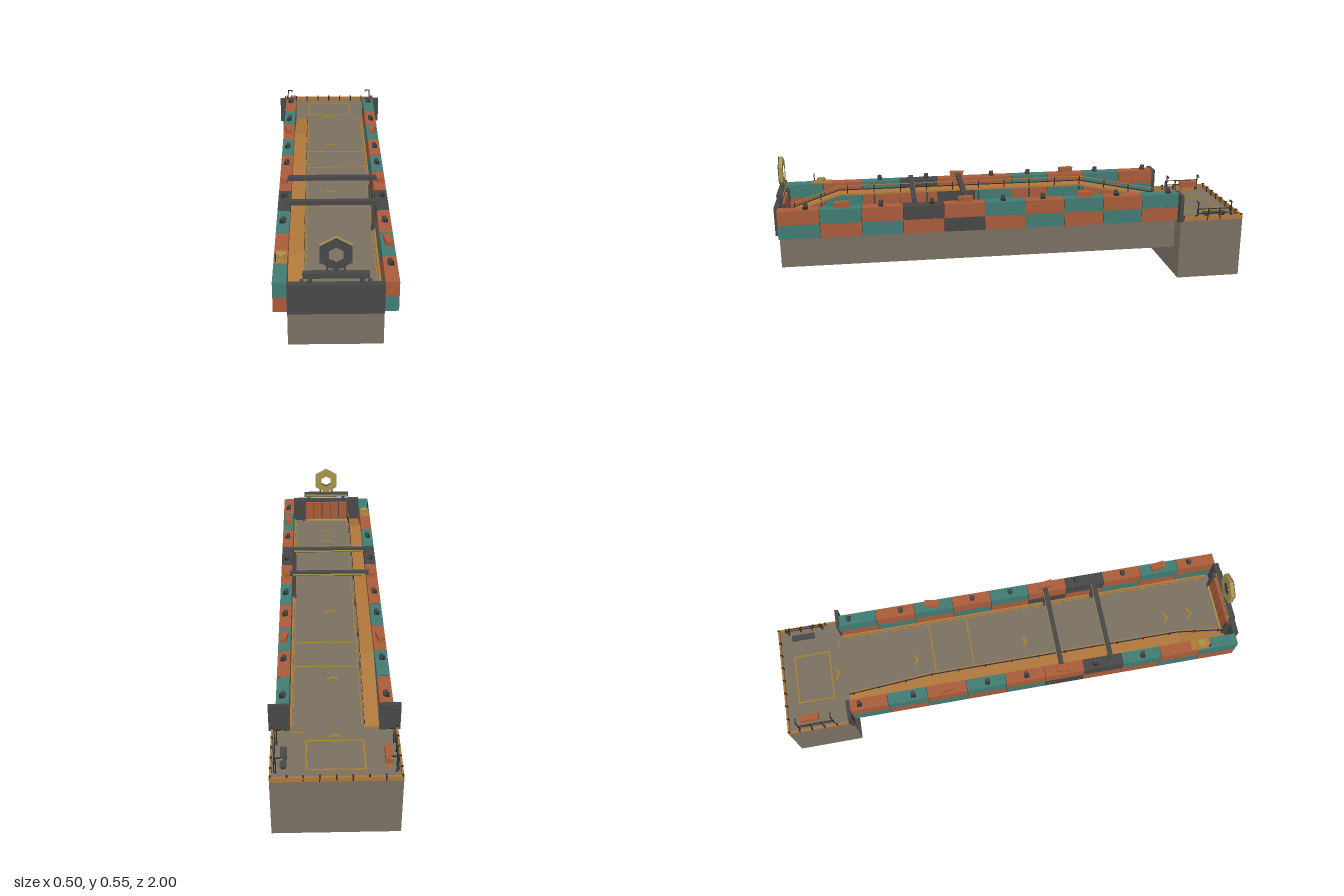
import * as THREE from 'three';

const mat = (name, color, side = THREE.FrontSide) => {
  const m = new THREE.MeshStandardMaterial({ color, side });
  m.name = name;
  return m;
};

export function createModel() {
  const root = new THREE.Group();
  root.name = 'containerDock';
  const stone = mat('stone', 0x7a7062);
  const dark = mat('darkSteel', 0x474748);
  const black = mat('blackMetal', 0x2c2c2e);
  const teal = mat('tealPaint', 0x417c74);
  const rust = mat('rustPaint', 0xa95c3a);
  const wood = mat('ochrePlank', 0xaf783b);
  const yellow = mat('yellowPaint', 0xa5822f);
  const brass = mat('brass', 0xa8934a);

  const add = (name, geo, m, x = 0, y = 0, z = 0, parent = root) => {
    const mesh = new THREE.Mesh(geo, m);
    mesh.name = name;
    mesh.position.set(x, y, z);
    parent.add(mesh);
    return mesh;
  };
  // box given by its ranges
  const box = (name, m, x0, x1, y0, y1, z0, z1) =>
    add(name, new THREE.BoxGeometry(x1 - x0, y1 - y0, z1 - z0), m, (x0 + x1) / 2, (y0 + y1) / 2, (z0 + z1) / 2);
  // bar between two points
  const bar = (name, m, a, b, t = 0.004) => {
    const p = new THREE.Vector3(...a), q = new THREE.Vector3(...b);
    const mesh = add(name, new THREE.BoxGeometry(t, t, p.distanceTo(q)), m);
    mesh.position.copy(p).add(q).multiplyScalar(0.5);
    mesh.lookAt(q);
    return mesh;
  };

  // Stone base
  box('deckBlock', stone, -0.17, 0.17, 0.12, 0.26, -0.72, 0.98);
  box('rearPlatform', stone, -0.24, 0.24, 0, 0.26, -1, -0.72);

  // Container walls, listed from the front to the rear
  const paint = { t: teal, r: rust, d: dark };
  const rows = [
    [1, 'rtrdrtrtrt', 'trtrdrtrtr'],
    [-1, 'trtdrrtrtr', 'rtrrdtrtrt'],
  ];
  for (const [s, upper, lower] of rows) {
    [lower, upper].forEach((codes, level) => [...codes].forEach((c, i) => {
      const z = 0.895 - i * 0.17;
      add('container', new THREE.BoxGeometry(0.05, 0.0595, 0.1685), paint[c], s * 0.195, 0.29 + level * 0.06, z);
    }));
    box('containerCore', black, s * 0.195 - 0.024, s * 0.195 + 0.024, 0.261, 0.379, -0.719, 0.979);
    // Roof vents
    for (const z of [0.865, 0.56, 0.35, 0.05, -0.12, -0.44, -0.67]) {
      if (s < 0 && z > 0.8) continue;
      add('roofVent', new THREE.CylinderGeometry(0.009, 0.009, 0.022, 8), dark, s * 0.193, 0.391, z);
      box('ventSpout', black, s * 0.2 - 0.008, s * 0.2 + 0.008, 0.38, 0.388, z - 0.01, z + 0.01);
    }
    // Skewed crates
    for (const z of s > 0 ? [0.72, 0.21, -0.3] : [0.21, -0.3]) {
      const crate = add('roofCrate', new THREE.BoxGeometry(0.026, 0.02, 0.06), rust, s * 0.197, 0.392, z);
      crate.rotation.y = s * (z > 0 ? 0.15 : -0.2);
      const lid = add('crateLid', new THREE.BoxGeometry(0.028, 0.003, 0.062), rust, s * 0.197, 0.403, z);
      lid.rotation.y = crate.rotation.y;
    }
    // Rear gate post
    box('gatePost', dark, s * 0.21 - 0.04, s * 0.21 + 0.04, 0.26, 0.38, -0.727, -0.711);
  }

  // Lookout fixture on one roof
  box('lookoutBase', wood, -0.215, -0.172, 0.38, 0.385, 0.775, 0.86);
  add('lookoutDrum', new THREE.CylinderGeometry(0.018, 0.018, 0.016, 6), brass, -0.193, 0.393, 0.82);
  box('lookoutMast', black, -0.214, -0.21, 0.38, 0.416, 0.85, 0.854);

  // Front wall with ribbed inner panels
  box('frontWall', dark, -0.17, 0.17, 0.26, 0.38, 0.972, 0.995);
  for (let i = 0; i < 5; i++) {
    const x = -0.088 + i * 0.044;
    box('gatePanel', rust, x - 0.02, x + 0.02, 0.268, 0.366, 0.962, 0.973);
  }
  box('gateSill', brass, -0.115, 0.115, 0.26, 0.267, 0.955, 0.973);
  for (const s of [-1, 1]) {
    box('gateJamb', dark, s * 0.118 - 0.007, s * 0.118 + 0.007, 0.26, 0.38, 0.955, 0.973);
    box('beamFoot', dark, s * 0.09 - 0.008, s * 0.09 + 0.008, 0.38, 0.402, 0.968, 0.986);
    box('signPost', dark, s * 0.03 - 0.004, s * 0.03 + 0.004, 0.418, 0.446, 0.964, 0.974);
  }
  box('signBeam', dark, -0.115, 0.115, 0.4, 0.419, 0.962, 0.986);
  box('beamStripe', brass, -0.11, 0.11, 0.404, 0.414, 0.96, 0.962);

  // Hexagonal ring sign: brass ring with a dark front face
  const hex = (Type, r) => new Type(Array.from({ length: 6 }, (_, i) =>
    new THREE.Vector2(r * Math.sin(i * Math.PI / 3), r * Math.cos(i * Math.PI / 3))));
  const ring = hex(THREE.Shape, 0.064);
  ring.holes.push(hex(THREE.Path, 0.028));
  add('hexRing', new THREE.ExtrudeGeometry(ring, { depth: 0.015, bevelEnabled: false }), brass, 0, 0.49, 0.96);
  add('hexFace', new THREE.ExtrudeGeometry(ring, { depth: 0.003, bevelEnabled: false }), dark, 0, 0.49, 0.975);

  // Cross beams over the deck
  for (const z of [0.205, 0.42]) {
    box('crossBeam', dark, -0.185, 0.185, 0.382, 0.4, z - 0.01, z + 0.01);
    box('beamStripe', brass, -0.165, 0.165, 0.385, 0.392, z - 0.012, z - 0.01);
    box('beamColumn', dark, 0.154, 0.168, 0.26, 0.384, z - 0.008, z + 0.008);
  }

  // Side walkway with a ramp at both ends
  const path = [[-0.72, 0.268], [-0.35, 0.345], [0.74, 0.345], [0.965, 0.268]];
  const heightAt = (z) => {
    const i = z < path[1][0] ? 0 : z < path[2][0] ? 1 : 2;
    const [[z0, y0], [z1, y1]] = [path[i], path[i + 1]];
    return y0 + (y1 - y0) * (z - z0) / (z1 - z0);
  };
  const section = new THREE.Shape([
    ...path.map(([z, y]) => new THREE.Vector2(z, y)),
    ...path.slice().reverse().map(([z, y]) => new THREE.Vector2(z, y - 0.008)),
  ]);
  const walk = add('walkway', new THREE.ExtrudeGeometry(section, { depth: 0.058, bevelEnabled: false }), wood, -0.112);
  walk.rotation.y = -Math.PI / 2;
  for (let i = 0; i < 3; i++) {
    for (const up of [0.018, 0.036]) {
      const [[z0, y0], [z1, y1]] = [path[i], path[i + 1]];
      bar('walkwayRail', up > 0.02 ? wood : black, [-0.114, y0 + up, z0], [-0.114, y1 + up, z1], 0.0035);
    }
  }
  for (let i = 0; i < 15; i++) {
    const z = -0.7 + i * 0.117, y = heightAt(z);
    box('railPost', black, -0.116, -0.112, y, y + 0.037, z - 0.002, z + 0.002);
    if (i % 2 && y > 0.3) box('walkwayLeg', dark, -0.122, -0.114, 0.26, y - 0.006, z - 0.004, z + 0.004);
  }
  box('deckCurb', wood, 0.162, 0.17, 0.26, 0.27, -0.72, 0.96);

  // Painted deck markings
  const line = (x0, x1, z0, z1) => box('deckMarking', yellow, x0, x1, 0.2595, 0.262, z0, z1);
  for (const z of [-0.33, -0.16]) line(-0.11, 0.162, z - 0.003, z + 0.003);
  for (const x of [-0.107, 0.157]) {
    for (let z = -0.7; z < 0.94; z += 0.05) line(x - 0.002, x + 0.002, z, z + 0.03);
  }
  for (const z of [-0.94, -0.787]) line(-0.11, 0.11, z - 0.003, z + 0.003);
  for (const x of [-0.107, 0.107]) line(x - 0.003, x + 0.003, -0.94, -0.787);
  for (const z of [-0.76, -0.41, 0.08, 0.73, 0.84]) {
    for (const s of [-1, 1]) {
      const arm = add('chevron', new THREE.BoxGeometry(0.03, 0.003, 0.009), yellow, s * 0.011, 0.261, z);
      arm.rotation.y = s * 0.6;
    }
  }
  line(0.12, 0.16, -0.742, -0.736);

  // Platform curb with studs
  box('rearCurb', wood, -0.24, 0.24, 0.26, 0.28, -1, -0.993);
  for (let i = 0; i <= 8; i++) {
    const x = -0.236 + i * 0.059;
    box('curbStud', black, x - 0.003, x + 0.003, 0.26, 0.285, -1, -0.99);
  }
  for (const s of [-1, 1]) {
    box('sideCurb', wood, s * 0.2365 - 0.0035, s * 0.2365 + 0.0035, 0.26, 0.28, -1, -0.73);
    for (let i = 0; i < 5; i++) {
      const z = -0.95 + i * 0.054;
      box('curbStud', black, s * 0.236 - 0.004, s * 0.236 + 0.004, 0.26, 0.285, z - 0.003, z + 0.003);
    }
    // Hooked lamps
    for (const z of [-0.955, -0.805]) {
      box('lampPost', black, s * 0.217 - 0.002, s * 0.217 + 0.002, 0.26, 0.335, z - 0.002, z + 0.002);
      box('lampArm', black, s * 0.207 - 0.012, s * 0.207 + 0.012, 0.332, 0.336, z - 0.002, z + 0.002);
      box('lampHead', brass, s * 0.197 - 0.004, s * 0.197 + 0.004, 0.326, 0.332, z - 0.004, z + 0.004);
    }
    // Railing beside the seat or console
    for (const y of [0.288, 0.308]) bar('platformRail', black, [s * 0.224, y, -0.95], [s * 0.224, y, -0.8], 0.003);
    for (const z of [-0.95, -0.9, -0.85, -0.8]) {
      box('platformRailPost', black, s * 0.224 - 0.002, s * 0.224 + 0.002, 0.26, 0.31, z - 0.002, z + 0.002);
    }
  }
  // Platform furniture
  box('supplyCrate', rust, -0.205, -0.178, 0.285, 0.312, -0.94, -0.86);
  box('crateStand', wood, -0.201, -0.182, 0.26, 0.285, -0.93, -0.87);
  box('bench', dark, 0.178, 0.203, 0.275, 0.283, -0.94, -0.84);
  for (const z of [-0.93, -0.85]) box('benchLeg', black, 0.182, 0.199, 0.26, 0.275, z - 0.004, z + 0.004);

  return root;
}
